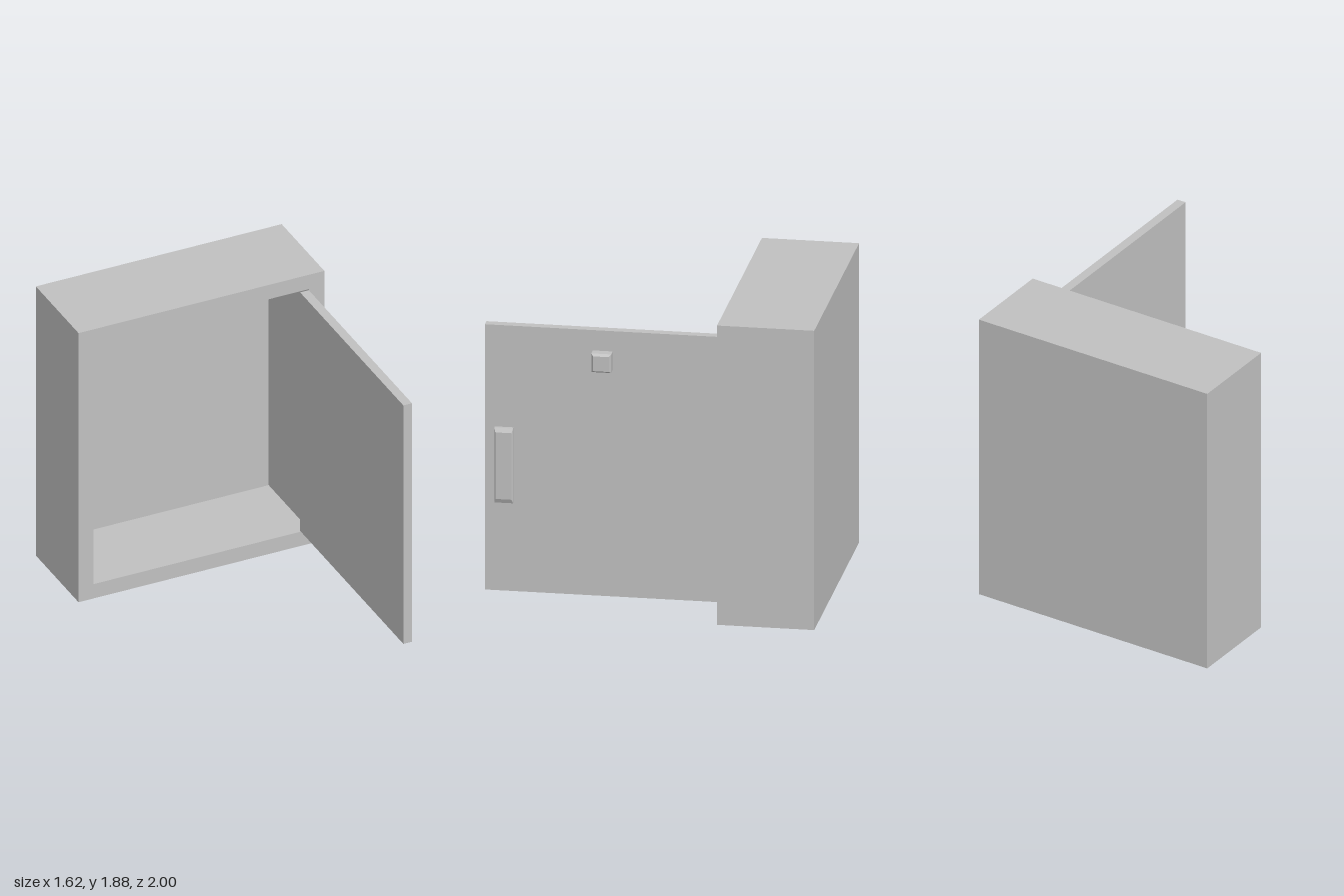
import * as THREE from 'three';

const W = 0.81, H = 1.88, BACK = -1, FRONT = -0.415, PANEL = 0.03;

// Rectangle outline given by its corners
function rect(PathType, x0, y0, x1, y1) {
  return new PathType([[x0, y0], [x1, y0], [x1, y1], [x0, y1]].map(p => new THREE.Vector2(...p)));
}

// Box spanning two corners
function box(x0, y0, z0, x1, y1, z1) {
  return new THREE.BoxGeometry(x1 - x0, y1 - y0, z1 - z0)
    .translate((x0 + x1) / 2, (y0 + y1) / 2, (z0 + z1) / 2);
}

// Block projecting along +x whose outer end is chamfered
function chamferedBlock(depth, height, width, chamferX, chamferY, chamferZ) {
  const geo = new THREE.BoxGeometry(depth, height, width, 2, 1, 1).translate(depth / 2, 0, 0);
  const p = geo.attributes.position;
  for (let i = 0; i < p.count; i++) {
    const x = p.getX(i);
    if (x > depth * 0.75) {
      p.setY(i, p.getY(i) - Math.sign(p.getY(i)) * chamferY);
      p.setZ(i, p.getZ(i) - Math.sign(p.getZ(i)) * chamferZ);
    } else if (x > depth * 0.25) {
      p.setX(i, depth - chamferX);
    }
  }
  const flat = geo.toNonIndexed();
  flat.computeVertexNormals();
  return flat;
}

export function createModel() {
  const model = new THREE.Group();
  model.name = 'openSafe';
  const grey = new THREE.MeshStandardMaterial({ color: 0xc0c0c0 });
  grey.name = 'lightGrey';

  const add = (parent, name, geometry) => {
    const mesh = new THREE.Mesh(geometry, grey);
    mesh.name = name;
    parent.add(mesh);
    return mesh;
  };

  // Hollow cabinet: walls with the door opening, closed by a thin back
  const cabinet = new THREE.Group();
  cabinet.name = 'cabinet';
  model.add(cabinet);
  const outline = rect(THREE.Shape, -W, 0, W, H);
  outline.holes.push(rect(THREE.Path, -0.71, 0.1, 0.71, 1.78));
  const walls = new THREE.ExtrudeGeometry(outline, {
    depth: FRONT - BACK - PANEL, bevelEnabled: false,
  }).translate(0, 0, BACK + PANEL);
  add(cabinet, 'cabinetWalls', walls);
  add(cabinet, 'backPanel', box(-W, 0, BACK, W, H, BACK + PANEL));

  // Door swung open at a right angle, with its fittings on the outer face
  const door = new THREE.Group();
  door.name = 'door';
  model.add(door);
  add(door, 'doorPanel', box(0.65, 0.107, FRONT, 0.707, 1.773, 1));
  add(door, 'handle', chamferedBlock(0.034, 0.47, 0.113, 0.012, 0.026, 0.008))
    .position.set(0.707, 0.9, 0.883);
  add(door, 'lockKnob', chamferedBlock(0.073, 0.117, 0.12, 0.018, 0.012, 0.012))
    .position.set(0.707, 1.587, 0.29);

  return model;
}
